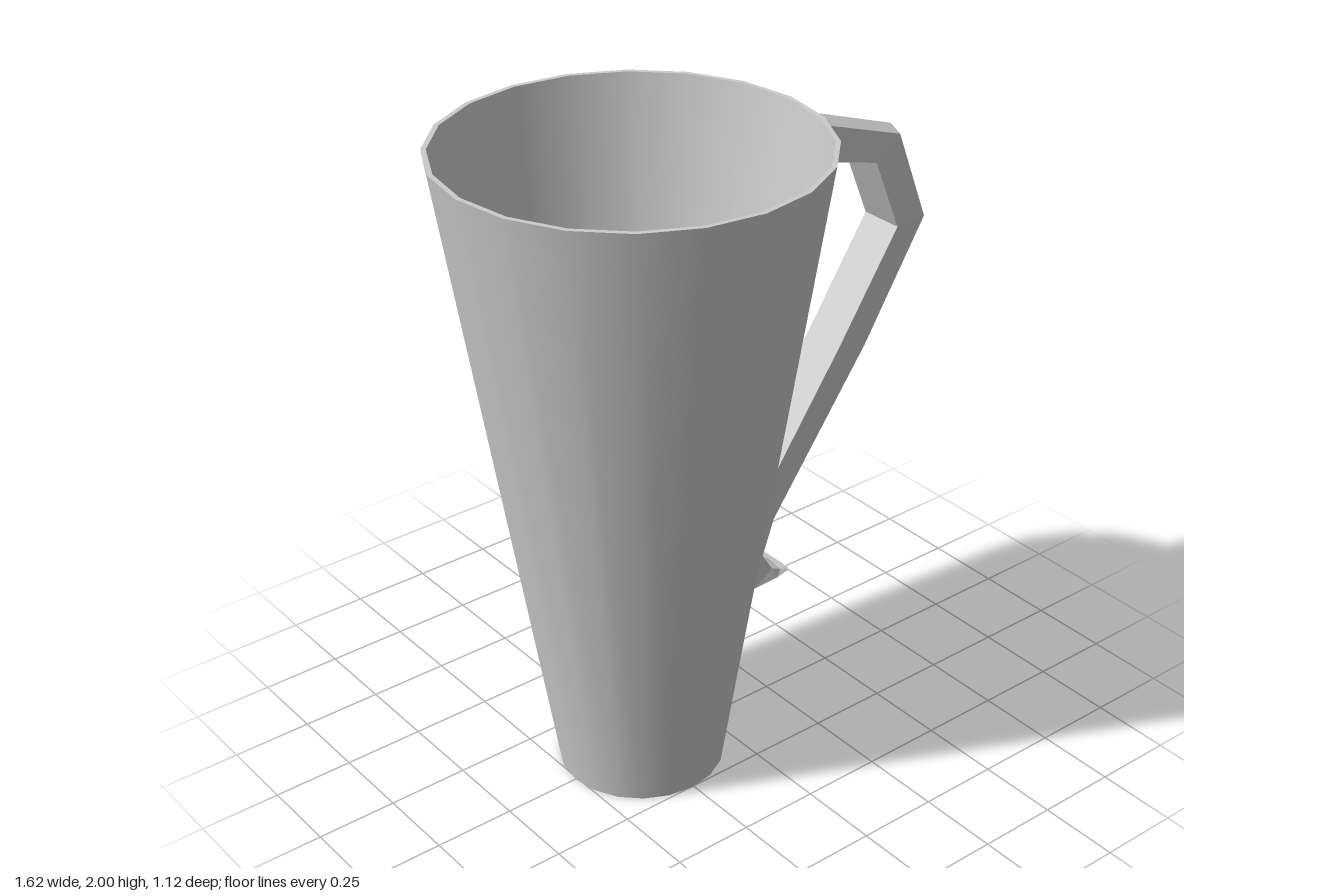
import * as THREE from 'three';

const SIDES = 20;
const CUP_X = -0.255;

function material(flatShading = false) {
  return new THREE.MeshStandardMaterial({ color: 0xcccccc, flatShading, side: THREE.DoubleSide });
}

// One ring of the cup turned from two [radius, height] points
function turned(name, from, to) {
  const points = [new THREE.Vector2(...from), new THREE.Vector2(...to)];
  const mesh = new THREE.Mesh(new THREE.LatheGeometry(points, SIDES), material());
  mesh.name = name;
  return mesh;
}

// Five-sided handle section swept through stations: [outer x, outer y, inner x, inner y]
function handleGeometry(stations) {
  const positions = [];
  const index = [];
  const n = 5;
  for (const [ox, oy, ix, iy] of stations) {
    const ex = ox + (ix - ox) * 0.15;
    const ey = oy + (iy - oy) * 0.15;
    positions.push(ix, iy, -0.07, ix, iy, 0.07, ex, ey, 0.06, ox, oy, 0, ex, ey, -0.06);
  }
  for (let i = 0; i < stations.length - 1; i++) {
    for (let j = 0; j < n; j++) {
      const a = i * n + j;
      const b = i * n + ((j + 1) % n);
      index.push(a, a + n, b, b, a + n, b + n);
    }
  }
  // End caps
  const last = (stations.length - 1) * n;
  for (let j = 1; j < n - 1; j++) {
    index.push(0, j, j + 1, last, last + j + 1, last + j);
  }
  const geometry = new THREE.BufferGeometry();
  geometry.setAttribute('position', new THREE.Float32BufferAttribute(positions, 3));
  geometry.setIndex(index);
  geometry.computeVertexNormals();
  return geometry;
}

export function createModel() {
  const model = new THREE.Group();
  model.name = 'mug';

  // Tapered cup with thin walls, a flat rim and a floor
  const cup = new THREE.Group();
  cup.name = 'cup';
  cup.position.x = CUP_X;
  cup.add(
    turned('base', [0, 0], [0.252, 0]),
    turned('outerWall', [0.252, 0], [0.56, 2]),
    turned('rim', [0.56, 2], [0.545, 2]),
    turned('innerWall', [0.545, 2], [0.245, 0.05]),
    turned('floor', [0.245, 0.05], [0, 0.05])
  );
  model.add(cup);

  // Angular handle with a ridged back and a small curled tail
  const handle = new THREE.Mesh(handleGeometry([
    [0.287, 1.967, 0.267, 1.835],
    [0.693, 1.822, 0.577, 1.75],
    [0.81, 1.52, 0.672, 1.52],
    [0.587, 1.153, 0.455, 1.19],
    [0.238, 0.675, 0.095, 0.677],
    [0.192, 0.562, 0.064, 0.513],
    [0.228, 0.503, 0.132, 0.46],
    [0.25, 0.485, 0.228, 0.464],
    [0.275, 0.48, 0.272, 0.474]
  ]), material(true));
  handle.name = 'handle';
  model.add(handle);

  return model;
}
